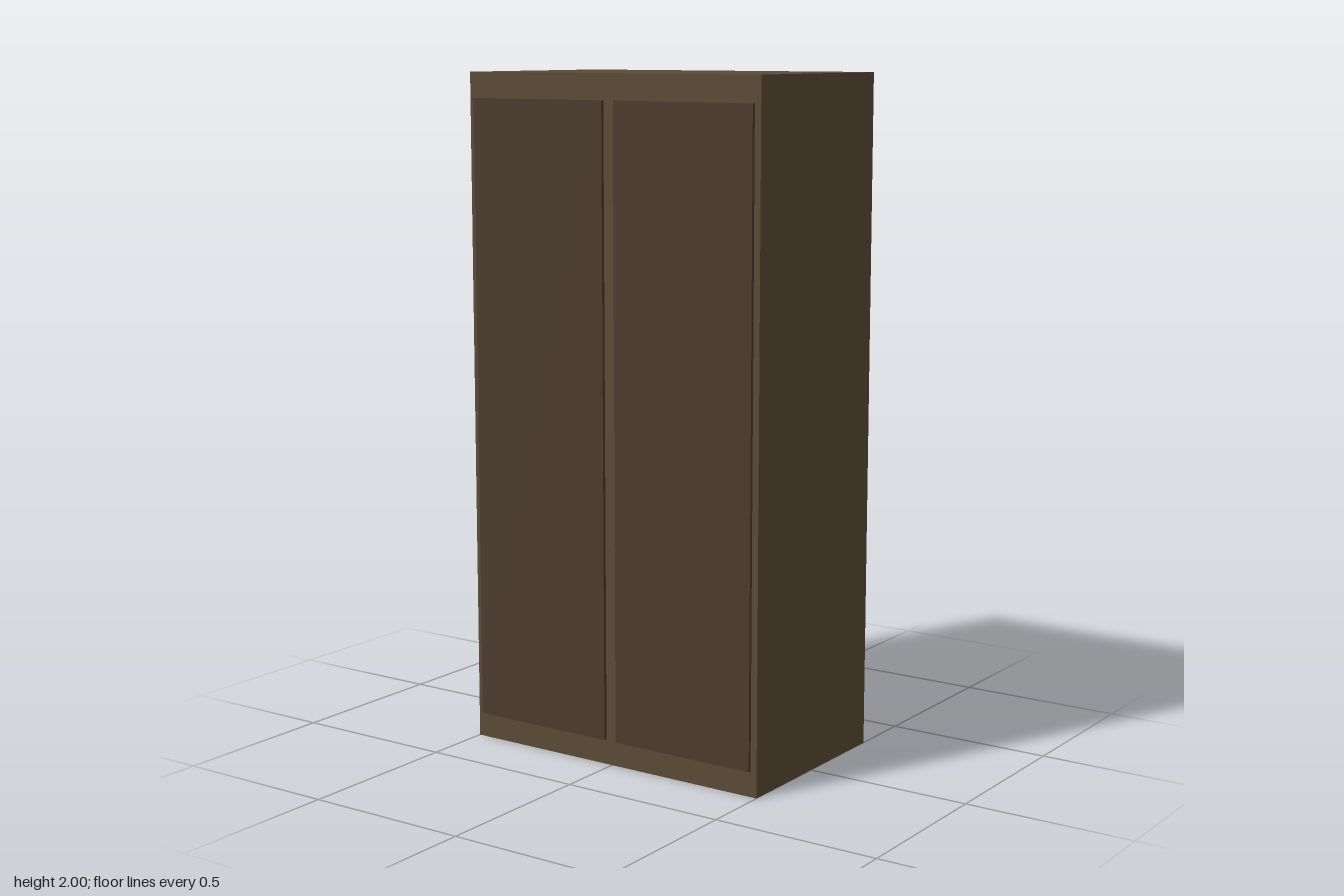
import * as THREE from 'three';

export function createModel() {
  const model = new THREE.Group();
  model.name = 'wardrobe';
  const bodyMaterial = new THREE.MeshStandardMaterial({ color: 0x5c4a36 });
  const doorMaterial = new THREE.MeshStandardMaterial({ color: 0x4c3b2d });

  function addBox(name, size, position, material) {
    const mesh = new THREE.Mesh(new THREE.BoxGeometry(...size), material);
    mesh.name = name;
    mesh.position.set(...position);
    model.add(mesh);
  }

  // Closed cabinet, with its back slightly behind centre
  addBox('cabinet', [1, 2, 0.6], [0, 1, -0.005], bodyMaterial);

  // Pair of thin door panels, standing proud of the cabinet front
  for (const [name, side] of [['leftDoor', 1], ['rightDoor', -1]]) {
    addBox(name, [0.46, 1.85, 0.02], [side * 0.25, 1, 0.295], doorMaterial);
  }

  return model;
}
